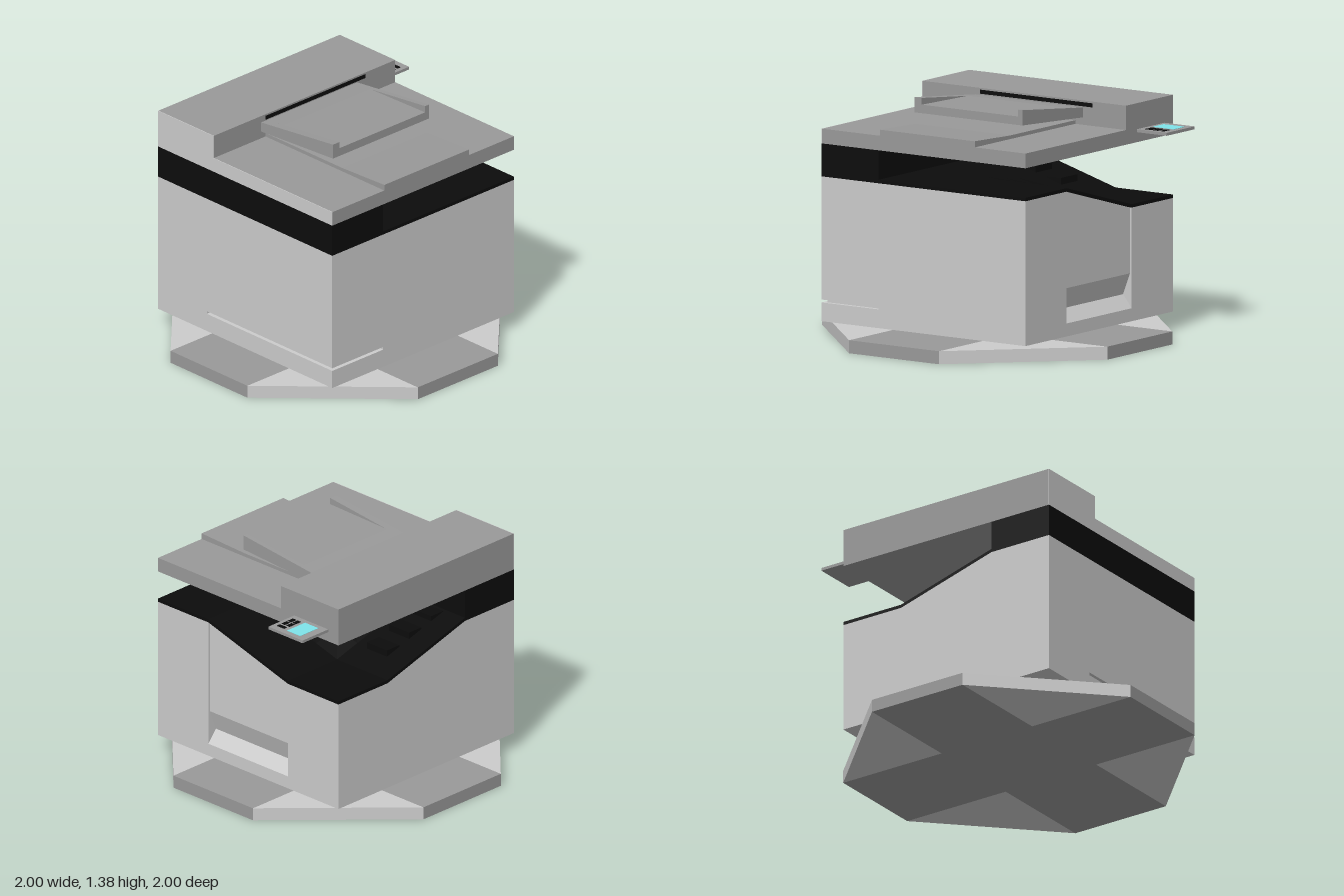
import * as THREE from 'three';

const W = 0.715, M = 0.315; // body half width, middle-section half width
const light = new THREE.MeshStandardMaterial({ color: 0xcccccc });
const dark = new THREE.MeshStandardMaterial({ color: 0x999999 });
const black = new THREE.MeshStandardMaterial({ color: 0x0c0c0c });
const cyan = new THREE.MeshStandardMaterial({ color: 0x7fe3ea });

function add(group, name, geometry, material) {
  const mesh = new THREE.Mesh(geometry, material);
  mesh.name = name;
  group.add(mesh);
  return mesh;
}

const outline = (pts) => new THREE.Shape(pts.map(([a, b]) => new THREE.Vector2(a, b)));
const extrude = (pts, depth) =>
  new THREE.ExtrudeGeometry(outline(pts), { depth, bevelEnabled: false });

// Box given by its limits on each axis
function box(x0, x1, y0, y1, z0, z1) {
  return new THREE.BoxGeometry(x1 - x0, y1 - y0, z1 - z0)
    .translate((x0 + x1) / 2, (y0 + y1) / 2, (z0 + z1) / 2);
}
// Profile in (x, y) swept along z
const alongZ = (pts, z0, z1) => extrude(pts, z1 - z0).translate(0, 0, z0);
// Profile in (z, y) swept along x
const alongX = (pts, x0, x1) =>
  extrude(pts, x1 - x0).translate(0, 0, -x1).rotateY(-Math.PI / 2);
// Plan in (x, z) swept upwards
const upward = (pts, y0, y1) =>
  extrude(pts.map(([x, z]) => [x, -z]), y1 - y0).rotateX(-Math.PI / 2).translate(0, y0, 0);

// Closed block between two height fields over a grid of x and z lines
function heightBlock(xs, zs, bottom, top) {
  const pos = [];
  const quad = (a, b, c, d) => pos.push(...a, ...b, ...c, ...a, ...c, ...d);
  const t = (x, z) => [x, top(x, z), z];
  const u = (x, z) => [x, bottom(x, z), z];
  const wall = (x0, z0, x1, z1) => quad(u(x0, z0), u(x1, z1), t(x1, z1), t(x0, z0));
  const xl = xs[xs.length - 1], zl = zs[zs.length - 1];
  for (let i = 0; i + 1 < xs.length; i++) {
    const a = xs[i], b = xs[i + 1];
    for (let j = 0; j + 1 < zs.length; j++) {
      const c = zs[j], d = zs[j + 1];
      quad(t(a, c), t(a, d), t(b, d), t(b, c));
      quad(u(a, c), u(b, c), u(b, d), u(a, d));
    }
    wall(a, zl, b, zl);
    wall(b, zs[0], a, zs[0]);
  }
  for (let j = 0; j + 1 < zs.length; j++) {
    wall(xl, zs[j + 1], xl, zs[j]);
    wall(xs[0], zs[j], xs[0], zs[j + 1]);
  }
  const g = new THREE.BufferGeometry();
  g.setAttribute('position', new THREE.Float32BufferAttribute(pos, 3));
  g.computeVertexNormals();
  return g;
}

// Body top: level, dipping towards the back corner on the -x side
const fall = (v) => THREE.MathUtils.clamp((M - v) / (2 * M), 0, 1);
const bodyTop = (x, z) => 0.94 - 0.18 * fall(x) * fall(z);
const flat = (y) => () => y;
const MID = [-M, -0.15, 0, 0.15, M];
const ALL = [-W, ...MID, W];

function makeBase() {
  const g = new THREE.Group();
  g.name = 'base';
  add(g, 'baseCross', upward([
    [-M, -1], [M, -1], [M, -M], [1, -M], [1, M], [M, M],
    [M, 1], [-M, 1], [-M, M], [-1, M], [-1, -M], [-M, -M]], 0, 0.075), dark);
  for (let i = 0; i < 4; i++) {
    const web = add(g, 'baseCorner', upward([[M, M], [1, M], [M, 1]], 0, 0.075), light);
    web.rotation.y = i * Math.PI / 2;
  }
  add(g, 'pedestal', box(-M, M, 0.075, 0.105, -M, M), light);
  return g;
}

function makeBody() {
  const g = new THREE.Group();
  g.name = 'body';
  const zb = -0.64, n = W - 0.025; // back layer start, groove floor
  add(g, 'bodyFoot', box(-W, W, 0.105, 0.213, zb, W), light);
  // Thin groove wrapping the front corner
  add(g, 'grooveLayer', upward([
    [-W, zb], [W, zb], [W, M], [n, M], [n, n], [-M, n], [-M, W], [-W, W]], 0.213, 0.23), light);
  add(g, 'mainBody', heightBlock(ALL, [zb, ...MID, W], flat(0.23), bodyTop), light);
  // Back layer: two side columns and a sunken middle with a handle scoop
  for (const [a, b] of [[-W, -M], [M, W]]) {
    add(g, 'backColumn', heightBlock([a, b], [-W, zb], flat(0.105), bodyTop), light);
  }
  add(g, 'backPanel', heightBlock(MID, [-W + 0.012, zb], flat(0.38), bodyTop), light);
  add(g, 'handleScoop', alongX([
    [zb, 0.105], [zb, 0.38], [-W + 0.012, 0.38], [-0.655, 0.255], [-W, 0.18], [-W, 0.105]],
  -M, M), light);
  return g;
}

function makeOutput() {
  const g = new THREE.Group();
  g.name = 'paperOutput';
  add(g, 'outputTray', heightBlock(ALL, [-W, ...MID], bodyTop,
    (x, z) => bodyTop(x, z) + 0.02), black);
  add(g, 'outputWall', box(-W, W, 0.94, 1.13, M, W), black);
  // Small guides climbing the slope
  for (const z of [-0.11, 0.07, 0.25]) {
    add(g, 'paperGuide', heightBlock([-0.56, -0.4], [z - 0.05, z + 0.05],
      (x, zz) => bodyTop(x, zz) + 0.01, flat(Math.min(bodyTop(-0.5, z) + 0.045, 0.958))), black);
  }
  return g;
}

function makeScanner() {
  const g = new THREE.Group();
  g.name = 'scanner';
  const profile = [[-W, 1.13], [W, 1.13], [W, 1.215], [-0.26, 1.215], [-0.26, 1.355], [-W, 1.355]];
  add(g, 'scannerLid', alongZ(profile, -W, W - 0.004), dark);
  add(g, 'scannerFront', alongZ(profile, W - 0.004, W), light);
  add(g, 'feederSlot', box(-0.265, -0.257, 1.322, 1.345, -0.48, 0.305), black);
  // Lower tray with a raised lip
  add(g, 'lowerTray', alongZ([
    [-0.26, 1.215], [W, 1.215], [W, 1.25], [0.37, 1.236], [-0.26, 1.236]], -0.36, 0.305), dark);
  // Sloping feed tray between two rails
  add(g, 'feedTray', alongZ([
    [-0.26, 1.258], [0.33, 1.293], [0.33, 1.342], [-0.12, 1.331], [-0.26, 1.315]],
  -0.385, 0.29), dark);
  for (const [a, b] of [[-0.415, -0.385], [0.29, 0.34]]) {
    add(g, 'feedTrayRail', alongZ([
      [-0.26, 1.258], [0.33, 1.293], [0.33, 1.381], [-0.26, 1.315]], a, b), dark);
  }
  return g;
}

function makeControls() {
  const g = new THREE.Group();
  g.name = 'controlPanel';
  add(g, 'panel', box(-0.635, -0.365, 1.188, 1.205, -0.925, -W), dark);
  add(g, 'screen', box(-0.585, -0.48, 1.2, 1.207, -0.892, -0.745), cyan);
  // Two columns of keys below a wide one
  add(g, 'wideKey', box(-0.45, -0.392, 1.2, 1.207, -0.885, -0.86), black);
  for (const x of [-0.455, -0.418]) {
    for (const z of [-0.845, -0.795]) {
      add(g, 'key', box(x, x + 0.027, 1.2, 1.207, z, z + 0.042), black);
    }
  }
  return g;
}

export function createModel() {
  const model = new THREE.Group();
  model.name = 'officeCopier';
  model.add(makeBase(), makeBody(), makeOutput(), makeScanner(), makeControls());
  return model;
}
